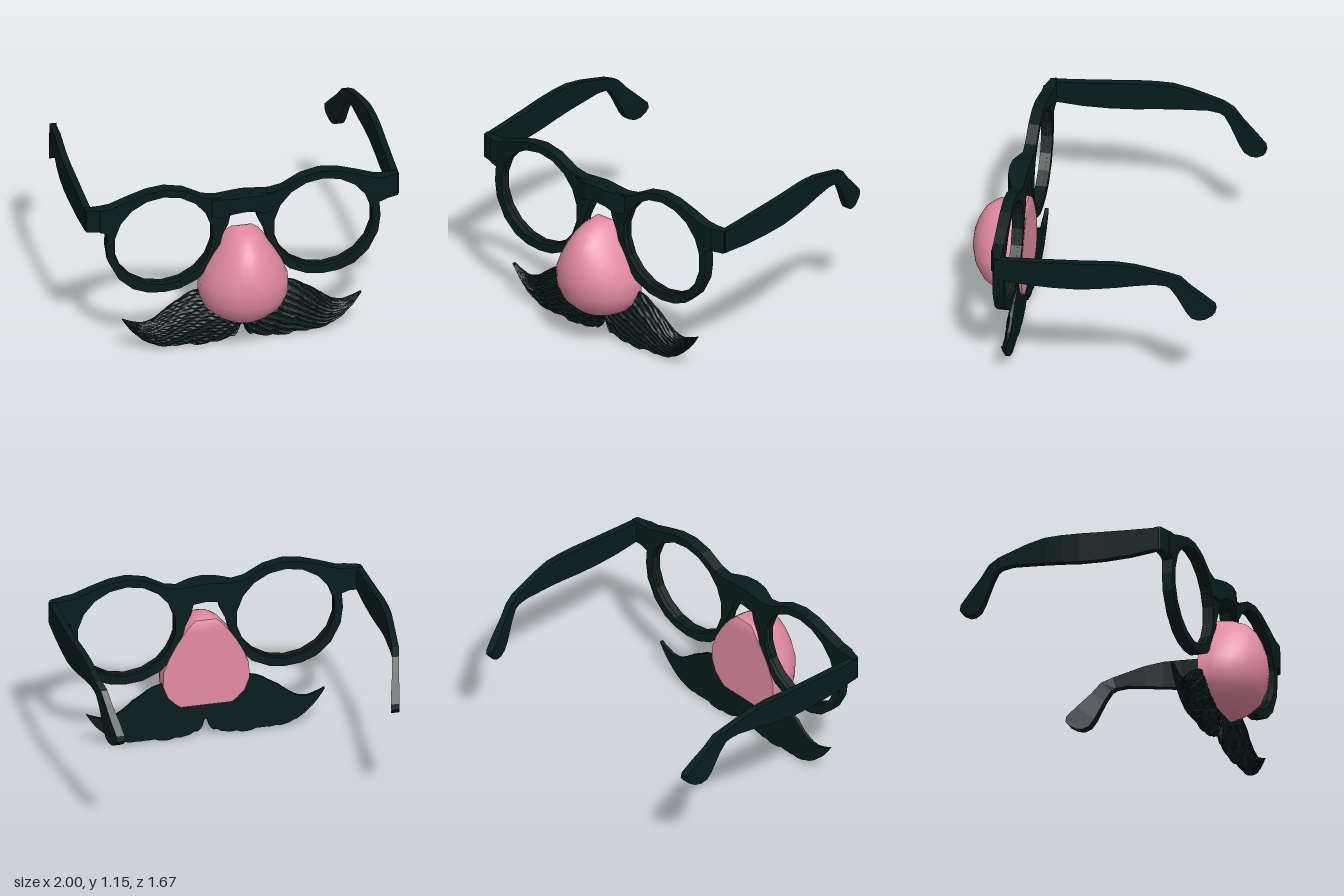
import * as THREE from 'three';
import { toCreasedNormals } from 'three/addons/utils/BufferGeometryUtils.js';

// Solid through a row of rings; each ring turns counter-clockwise about the direction of travel.
function loft(rings, crease = 0) {
  const pos = [];
  const tri = (a, b, c) => pos.push(...a, ...b, ...c);
  const n = rings[0].length, last = rings[rings.length - 1];
  for (let i = 0; i < rings.length - 1; i++) {
    for (let j = 0; j < n; j++) {
      const k = (j + 1) % n, p = rings[i], q = rings[i + 1];
      tri(p[j], p[k], q[k]);
      tri(p[j], q[k], q[j]);
    }
  }
  for (let j = 1; j < n - 1; j++) {
    tri(rings[0][0], rings[0][j + 1], rings[0][j]);
    tri(last[0], last[j], last[j + 1]);
  }
  const g = new THREE.BufferGeometry();
  g.setAttribute('position', new THREE.Float32BufferAttribute(pos, 3));
  if (crease) return toCreasedNormals(g, crease);
  g.computeVertexNormals();
  return g;
}

const mirrorRings = rings => rings.map(r => r.map(([x, y, z]) => [-x, y, z]).reverse());

// Piecewise linear lookup in [key, value] rows with rising keys
function lookup(rows, k) {
  for (let i = 1; i < rows.length; i++) {
    if (k <= rows[i][0]) {
      const [a, u] = rows[i - 1], [b, v] = rows[i];
      return u + (v - u) * Math.max(0, (k - a) / (b - a));
    }
  }
  return rows[rows.length - 1][1];
}

// Many-sided lens opening on side s, inset slightly for the liner
function lensPoints(s, inset = 0) {
  return Array.from({ length: 18 }, (_, i) => {
    const a = (i + 0.5) / 18 * Math.PI * 2;
    return new THREE.Vector2(s * 0.502 + (0.312 - inset) * Math.cos(a), 0.79 + (0.309 - inset) * Math.sin(a));
  });
}

// Spectacle front: half outline mirrored, with two lens openings
function frameGeometry() {
  const half = [
    [0, 1.06], [0.17, 1.045], [0.25, 1.06], [0.37, 1.125], [0.49, 1.15], [0.6, 1.138], [0.72, 1.1],
    [0.83, 1.06], [0.9, 1.052], [0.9, 0.9], [0.855, 0.885], [0.862, 0.79], [0.847, 0.68], [0.785, 0.558],
    [0.695, 0.475], [0.6, 0.438], [0.5, 0.428], [0.4, 0.44], [0.29, 0.49], [0.21, 0.575], [0.16, 0.67],
    [0.133, 0.78], [0.095, 0.86], [0.08, 0.925], [0, 0.935],
  ];
  const left = half.slice(1, -1).reverse().map(([x, y]) => [-x, y]);
  const shape = new THREE.Shape([...half, ...left].map(p => new THREE.Vector2(...p)));
  for (const s of [-1, 1]) shape.holes.push(new THREE.Path(lensPoints(s)));
  return new THREE.ExtrudeGeometry(shape, { depth: 0.07, bevelEnabled: false }).translate(0, 0, 0.49);
}

// Thin groove line inside a lens opening
function linerGeometry(s) {
  const shape = new THREE.Shape(lensPoints(s));
  shape.holes.push(new THREE.Path(lensPoints(s, 0.003)));
  return new THREE.ExtrudeGeometry(shape, { depth: 0.009, bevelEnabled: false }).translate(0, 0, 0.515);
}

// Raised bridge: x, bottom, top, front
function bridgeRings() {
  const rows = [
    [-0.2, 0.9, 1.035, 0.561], [-0.13, 0.89, 1.048, 0.585], [-0.08, 0.925, 1.052, 0.605], [0, 0.935, 1.06, 0.61],
    [0.08, 0.925, 1.052, 0.605], [0.13, 0.89, 1.048, 0.585], [0.2, 0.9, 1.035, 0.561],
  ];
  return rows.map(([x, b, t, z]) => [[x, b, 0.5], [x, t, 0.5], [x, t, z], [x, b + 0.02, z]]);
}

// Corner block joining the front to a temple arm: x, back, front
function hingeRings() {
  return [[0.86, 0.49, 0.558], [0.9, 0.49, 0.554], [0.98, 0.49, 0.53], [0.987, 0.49, 0.5]]
    .map(([x, b, f]) => [[x, 0.9, b], [x, 1.053, b], [x, 1.053, f], [x, 0.9, f]]);
}

// Temple arm with a drooping ear hook: top z, top y, bottom z, bottom y
function templeRings() {
  const bend = [[-0.83, 0.865], [-0.55, 0.936], [-0.3, 0.96], [-0.18, 0.975], [0, 0.978], [0.2, 0.973], [0.52, 0.967]];
  const rows = [
    [0.52, 1.045, 0.52, 0.905], [0.33, 1.06, 0.33, 0.89], [0.16, 1.075, 0.16, 0.89], [0, 1.09, 0, 0.9],
    [-0.12, 1.1, -0.12, 0.918], [-0.23, 1.105, -0.23, 0.935], [-0.35, 1.09, -0.34, 0.953],
    [-0.46, 1.063, -0.46, 0.97], [-0.55, 1.04, -0.53, 0.965], [-0.62, 1.01, -0.56, 0.95],
    [-0.68, 0.94, -0.6, 0.885], [-0.76, 0.86, -0.66, 0.765], [-0.825, 0.795, -0.69, 0.72],
    [-0.832, 0.76, -0.73, 0.702], [-0.815, 0.735, -0.77, 0.706],
  ];
  return rows.map(([zt, yt, zb, yb]) => {
    const t = lookup(bend, zt), b = lookup(bend, zb), w = zt < -0.7 ? 0.026 : 0.021;
    return [[t - w, yt, zt], [t + w, yt, zt], [b + w, yb, zb], [b - w, yb, zb]];
  });
}

// Bulbous nose with a flat back: y, half width, front z, back z
function noseRings() {
  const rows = [
    [0.195, 0.07, 0.62, 0.56], [0.207, 0.13, 0.67, 0.52], [0.225, 0.17, 0.705, 0.487], [0.25, 0.205, 0.735, 0.487],
    [0.3, 0.255, 0.785, 0.487], [0.38, 0.287, 0.82, 0.487], [0.48, 0.283, 0.835, 0.487], [0.57, 0.245, 0.825, 0.487],
    [0.65, 0.2, 0.8, 0.487], [0.72, 0.153, 0.765, 0.487], [0.77, 0.113, 0.715, 0.487], [0.805, 0.07, 0.645, 0.5],
    [0.818, 0.035, 0.59, 0.53],
  ];
  return rows.map(([y, w, f, b]) => Array.from({ length: 17 }, (_, i) => {
    const a = (i / 16 - 0.5) * Math.PI, c = Math.max(0, Math.cos(a));
    const tuck = 1 - 0.05 * (1 - c) ** 6;
    return [w * tuck * Math.sin(a), y, b + (f - b) * c ** 0.87];
  }));
}

// Half of the moustache: ridged strands falling outwards to an upturned tip
function moustacheRings() {
  const curve = pts => new THREE.CatmullRomCurve3(pts.map(([x, y]) => new THREE.Vector3(x, y, 0)));
  const low = curve([[0, 0.12], [0.04, 0.045], [0.13, 0.015], [0.25, 0], [0.36, 0.015], [0.46, 0.013],
    [0.56, 0.04], [0.65, 0.105], [0.71, 0.172], [0.75, 0.234]]);
  const top = curve([[0, 0.36], [0.1, 0.38], [0.2, 0.395], [0.3, 0.388], [0.4, 0.335], [0.48, 0.28],
    [0.55, 0.225], [0.62, 0.2], [0.69, 0.215], [0.75, 0.24]]);
  const rings = [], steps = 32, strands = 26;
  for (let i = 0; i <= steps; i++) {
    const s = i / steps, a = low.getPoint(s), b = top.getPoint(s);
    a.y += (i % 4 === 1 ? 0.012 : 0) * (1 - s); // ragged edges
    b.y -= (i % 4 === 2 ? 0.007 : 0) * (1 - s);
    const ring = [[a.x, a.y, 0.502], [b.x, b.y, 0.502]];
    for (let j = strands; j >= 0; j--) {
      const t = j / strands, p = a.clone().lerp(b, t);
      const u = j / 3 + i / 4; // strands slip downwards along the sweep
      const ridge = 0.016 * Math.abs((u % 1) * 2 - 1) * (0.75 + 0.25 * Math.sin(Math.floor(u) * 2.3));
      const bulge = 0.03 * Math.sin(Math.PI * t);
      ring.push([p.x, p.y, 0.516 + (bulge + ridge) * (1 - 0.75 * s * s)]);
    }
    rings.push(ring);
  }
  return rings;
}

export function createModel() {
  const material = (name, color) => Object.assign(new THREE.MeshStandardMaterial({ color }), { name });
  const black = material('darkPlastic', 0x081c1c);
  const pink = material('pinkRubber', 0xe38ca1);
  const brown = material('brownLiner', 0x2b1c1a);

  const group = new THREE.Group();
  group.name = 'disguiseGlasses';
  const add = (name, geometry, mat) => {
    const mesh = new THREE.Mesh(geometry, mat);
    mesh.name = name;
    group.add(mesh);
  };

  add('frameFront', frameGeometry(), black);
  add('leftLensLiner', linerGeometry(1), brown);
  add('rightLensLiner', linerGeometry(-1), brown);
  add('bridge', loft(bridgeRings()), black);
  add('nose', loft(noseRings(), 0.7), pink);

  // Paired parts
  const pairs = { Hinge: hingeRings(), Temple: templeRings(), Moustache: moustacheRings() };
  for (const [name, rings] of Object.entries(pairs)) {
    add('left' + name, loft(rings), black);
    add('right' + name, loft(mirrorRings(rings)), black);
  }
  return group;
}
